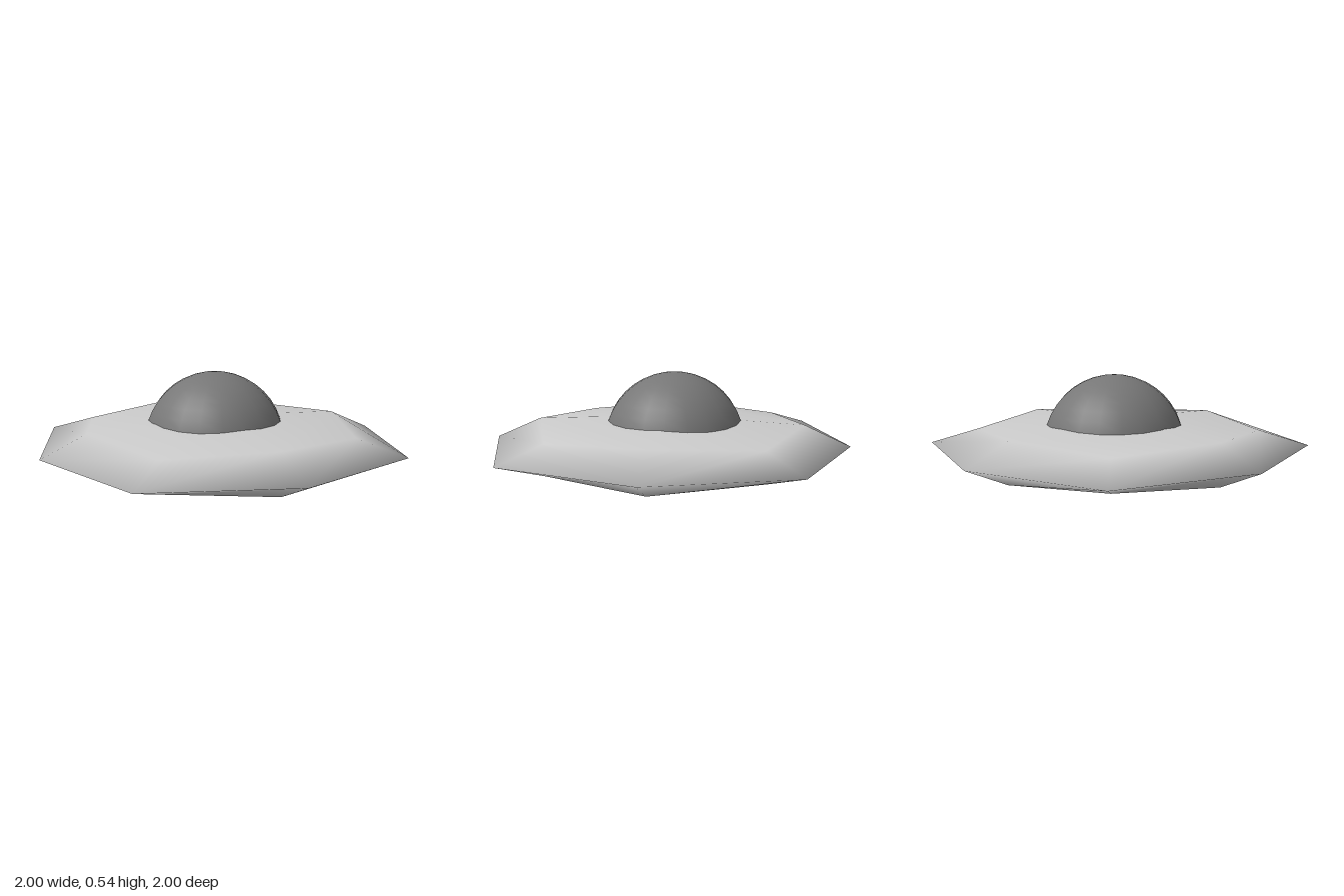
import * as THREE from 'three';
import { mergeVertices } from 'three/addons/utils/BufferGeometryUtils.js';

// Once-subdivided cube, flattened into an eight-sided saucer
function saucerGeometry(halfHeight) {
  const box = new THREE.BoxGeometry(2, 2, 2, 2, 2, 2);
  box.deleteAttribute('uv');
  box.deleteAttribute('normal');
  const geo = mergeVertices(box);
  const pos = geo.attributes.position;
  const shrink = [0, 1, 0.75, 5 / 9]; // face centre, edge middle, corner
  const v = new THREE.Vector3();
  for (let i = 0; i < pos.count; i++) {
    v.fromBufferAttribute(pos, i);
    const kind = v.toArray().filter((c) => Math.abs(c) > 0.5).length;
    v.multiplyScalar(shrink[kind]);
    pos.setXYZ(i, v.x, v.y * halfHeight, v.z);
  }
  geo.computeVertexNormals();
  return geo;
}

export function createModel() {
  const model = new THREE.Group();
  model.name = 'flyingSaucer';

  // Hull
  const hull = new THREE.Mesh(
    saucerGeometry(0.15),
    new THREE.MeshStandardMaterial({ color: 0xcccccc })
  );
  hull.name = 'hull';
  hull.position.y = 0.15;
  model.add(hull);

  // Dome, rising from inside the hull slightly behind the centre
  const dome = new THREE.Mesh(
    new THREE.SphereGeometry(0.393, 20, 10, 0, Math.PI * 2, 0, Math.PI / 2),
    new THREE.MeshStandardMaterial({ color: 0x777777 })
  );
  dome.name = 'dome';
  dome.position.set(0, 0.15, -0.03);
  model.add(dome);

  return model;
}
